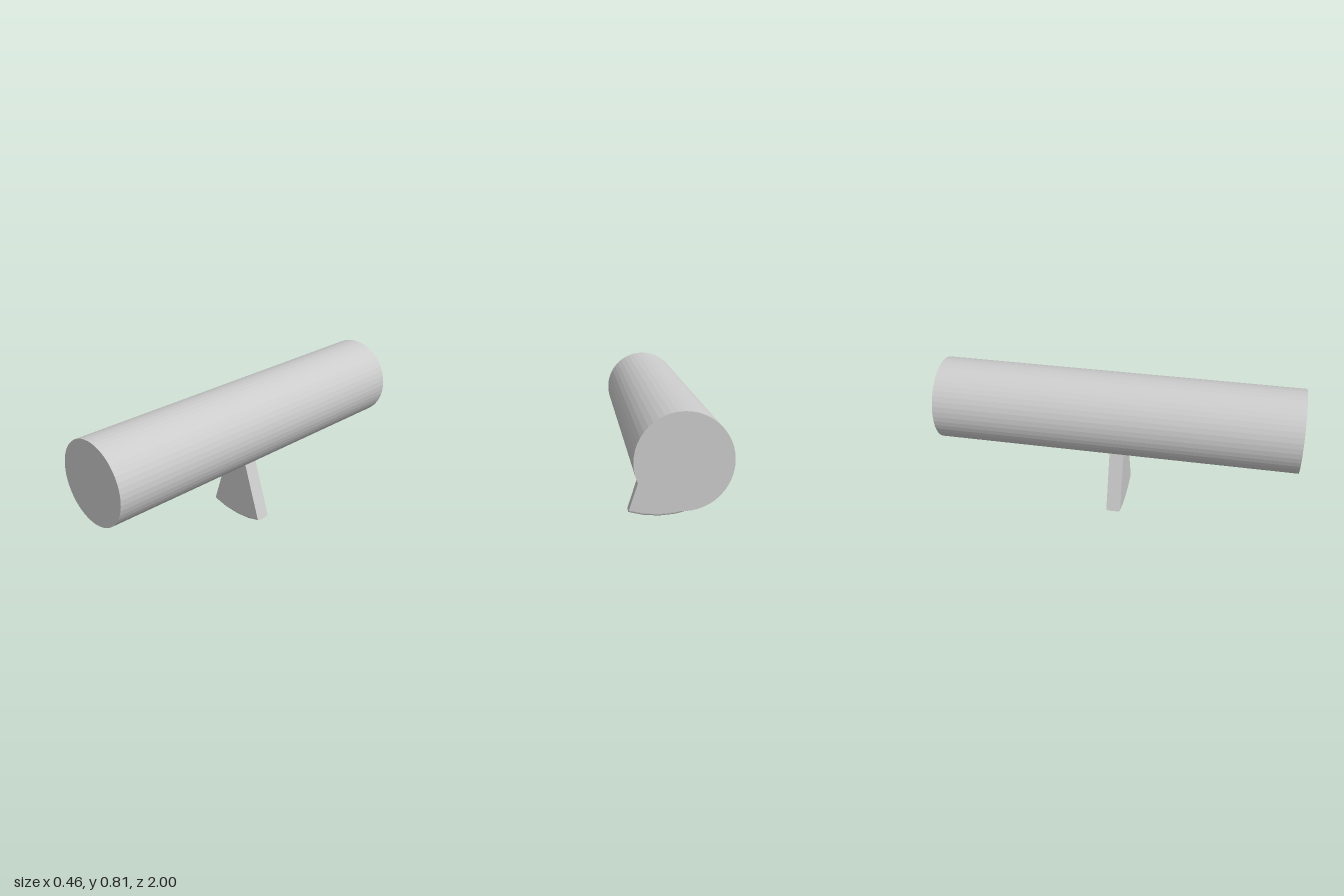
import * as THREE from 'three';

export function createModel() {
  const group = new THREE.Group();
  const axisY = 0.579;
  const material = new THREE.MeshStandardMaterial({ color: 0xcccccc, flatShading: true });
  const finMaterial = material.clone();
  finMaterial.side = THREE.DoubleSide;

  // Long horizontal cylinder along z
  const body = new THREE.Mesh(new THREE.CylinderGeometry(0.228, 0.228, 2, 48), material);
  body.name = 'cylinderBody';
  body.rotation.x = Math.PI / 2;
  body.position.y = axisY;
  group.add(body);

  // Wedge fin: a rounded-rim disc sector sharing the cylinder's axis
  const inner = 0.15, half = 0.04, bevel = 0.012, spread = Math.PI / 10;
  const profile = [new THREE.Vector2(inner, -half)];
  for (const side of [-1, 1]) {
    for (let i = 0; i <= 3; i++) {
      const a = side * (side < 0 ? 1 - i / 3 : i / 3) * Math.PI / 2;
      profile.push(new THREE.Vector2(
        axisY - bevel + bevel * Math.cos(a),
        side * (half - bevel) + bevel * Math.sin(a)));
    }
  }
  profile.push(new THREE.Vector2(inner, half));

  const fin = new THREE.Group();
  fin.name = 'wedgeFin';
  fin.rotation.x = Math.PI / 2;
  fin.position.y = axisY;
  const sector = new THREE.Mesh(new THREE.LatheGeometry(profile, 4, -spread, spread * 2), finMaterial);
  sector.name = 'finSector';
  fin.add(sector);

  // Flat sloping sides of the fin
  for (const side of [-1, 1]) {
    const flank = new THREE.Mesh(new THREE.ShapeGeometry(new THREE.Shape(profile)), finMaterial);
    flank.name = side < 0 ? 'finRightSide' : 'finLeftSide';
    flank.rotation.y = side * spread - Math.PI / 2;
    fin.add(flank);
  }
  group.add(fin);
  return group;
}
